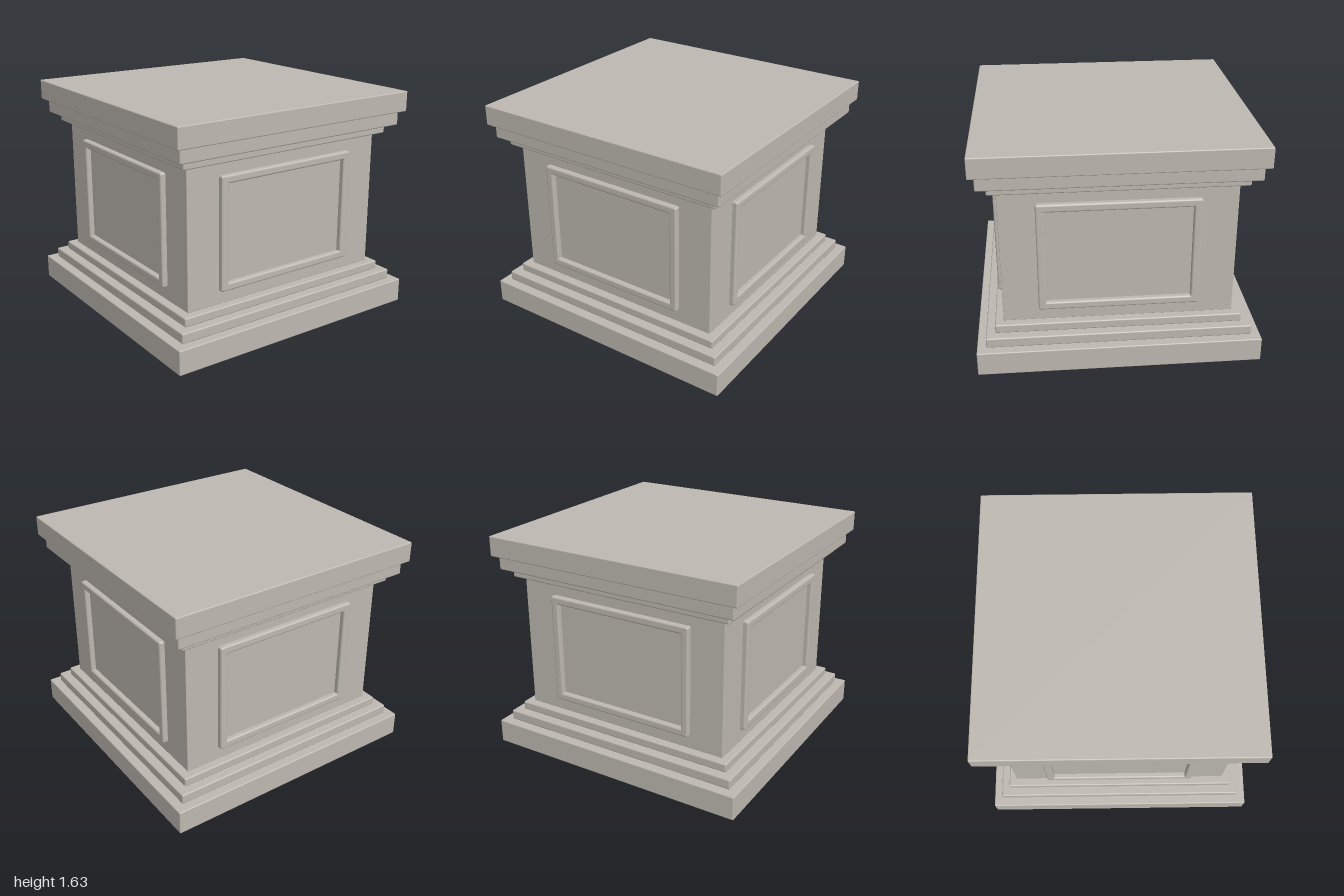
import * as THREE from 'three';
import { RoundedBoxGeometry } from 'three/addons/geometries/RoundedBoxGeometry.js';

export function createModel() {
  const model = new THREE.Group();
  model.name = 'pedestal';
  const stone = new THREE.MeshStandardMaterial({ color: 0xbdb8b0 });
  stone.name = 'stone';

  function block(parent, name, w, h, d, x, y, z, radius) {
    const mesh = new THREE.Mesh(new RoundedBoxGeometry(w, h, d, 3, radius), stone);
    mesh.name = name;
    mesh.position.set(x, y, z);
    parent.add(mesh);
  }

  // Stacked square courses: name, half width, bottom, top, edge radius
  const courses = [
    ['plinth', 1.0, 0, 0.178, 0.008],
    ['lowerBaseMoulding', 0.935, 0.178, 0.252, 0.01],
    ['upperBaseMoulding', 0.87, 0.252, 0.316, 0.01],
    ['body', 0.81, 0.316, 1.316, 0.004],
    ['lowerCapMoulding', 0.87, 1.316, 1.378, 0.01],
    ['upperCapMoulding', 0.935, 1.378, 1.48, 0.01],
    ['capSlab', 0.975, 1.48, 1.628, 0.008],
  ];
  for (const [name, half, bottom, top, radius] of courses) {
    block(model, name, half * 2, top - bottom, half * 2, 0, (bottom + top) / 2, 0, radius);
  }

  // Raised rectangular frame on each of the four faces
  const bar = 0.057, depth = 0.076, z = 0.81, halfW = 0.56, bottom = 0.412, top = 1.222;
  ['front', 'left', 'back', 'right'].forEach((side, i) => {
    const frame = new THREE.Group();
    frame.name = side + 'PanelFrame';
    frame.rotation.y = i * Math.PI / 2;
    for (const y of [bottom + bar / 2, top - bar / 2]) {
      block(frame, 'frameRail', halfW * 2, bar, depth, 0, y, z, 0.014);
    }
    for (const s of [-1, 1]) {
      block(frame, 'frameStile', bar, top - bottom, depth, s * (halfW - bar / 2), (top + bottom) / 2, z, 0.014);
    }
    model.add(frame);
  });

  return model;
}
